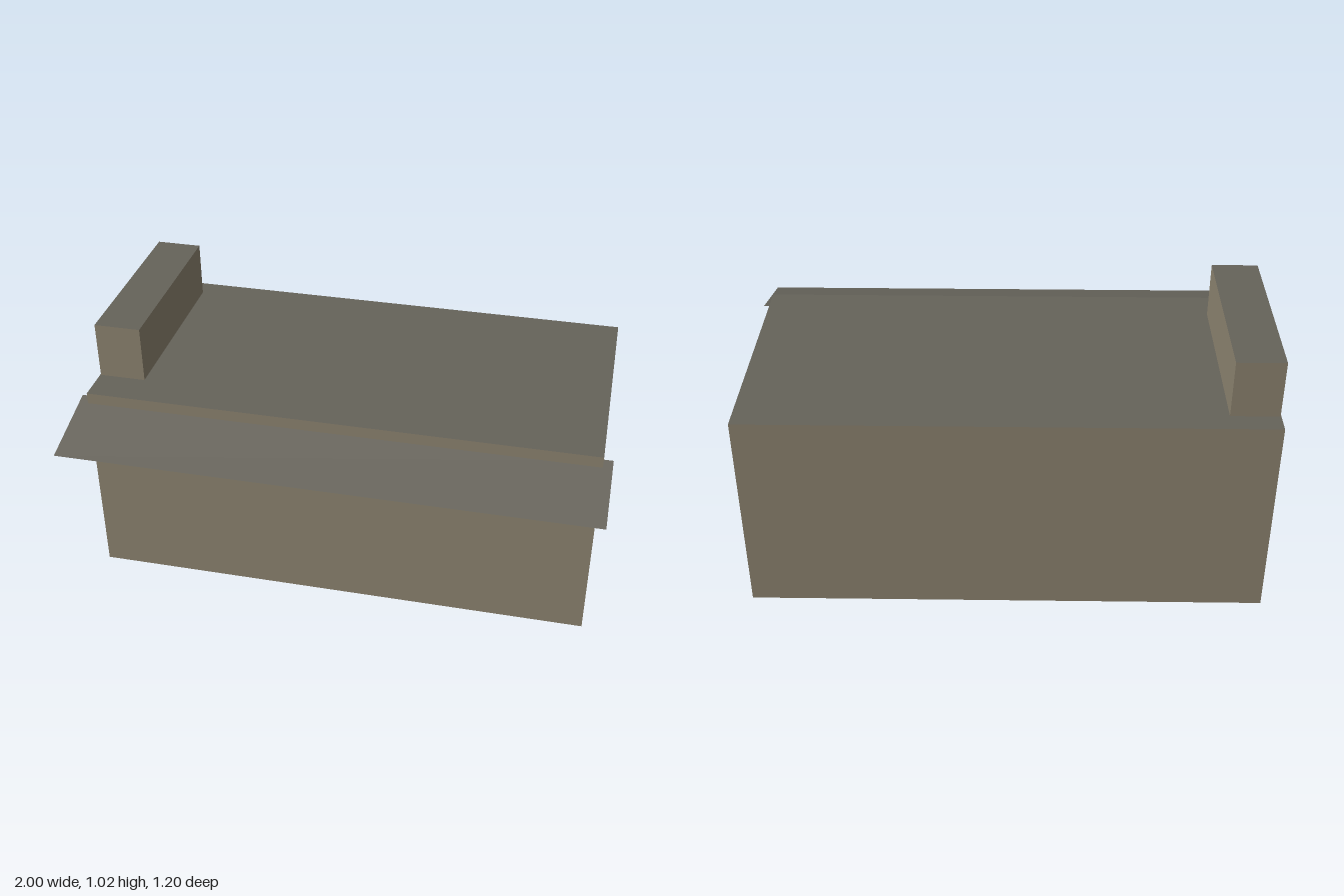
import * as THREE from 'three';

const HALF = 0.965;            // half width of the building
const BACK = -0.6, FRONT = 0.337, EAVE = 0.8;

// Box keeping only the listed sides: 0 +x, 1 -x, 2 top, 3 bottom, 4 front, 5 back
function boxSides([x0, x1], [y0, y1], [z0, z1], sides) {
  const g = new THREE.BoxGeometry(x1 - x0, y1 - y0, z1 - z0);
  const index = Array.from(g.index.array);
  g.setIndex(sides.flatMap(s => index.slice(s * 6, s * 6 + 6)));
  g.clearGroups();
  g.translate((x0 + x1) / 2, (y0 + y1) / 2, (z0 + z1) / 2);
  return g;
}

export function createModel() {
  const model = new THREE.Group();
  model.name = 'building';

  const wallTan = new THREE.MeshStandardMaterial({ color: 0x8c836f, side: THREE.DoubleSide });
  wallTan.name = 'wallTan';
  const roofGrey = new THREE.MeshStandardMaterial({ color: 0x66635a, side: THREE.DoubleSide });
  roofGrey.name = 'roofGrey';

  const add = (name, geometry, material) => {
    const mesh = new THREE.Mesh(geometry, material);
    mesh.name = name;
    model.add(mesh);
  };

  // Main block, open underneath, and the box standing on its roof
  const blocks = [
    ['main', [-HALF, HALF], [0, EAVE], [BACK, FRONT]],
    ['rooftop', [-0.962, -0.785], [EAVE, 1.02], [-0.52, 0.2]],
  ];
  for (const [name, x, y, z] of blocks) {
    add(name + 'Walls', boxSides(x, y, z, [0, 1, 4, 5]), wallTan);
    add(name + 'Roof', boxSides(x, y, z, [2]), roofGrey);
  }

  // Wedge under the canopy, profile drawn as (z, y)
  const profile = new THREE.Shape([
    [FRONT, 0.68], [0.565, 0.68], [0.565, 0.697], [FRONT, 0.754],
  ].map(p => new THREE.Vector2(...p)));
  const wedge = new THREE.ExtrudeGeometry(profile, { depth: 2 * HALF, bevelEnabled: false });
  wedge.rotateY(-Math.PI / 2).translate(HALF, 0, 0);
  add('canopySupport', wedge, wallTan);

  // Thin sloping canopy sheet, wider than the building
  const rise = 0.076, run = 0.3;
  const canopy = new THREE.PlaneGeometry(2, Math.hypot(rise, run));
  canopy.rotateX(Math.atan2(rise, run) - Math.PI / 2).translate(0, 0.69 + rise / 2, 0.45);
  add('canopy', canopy, roofGrey);

  return model;
}
